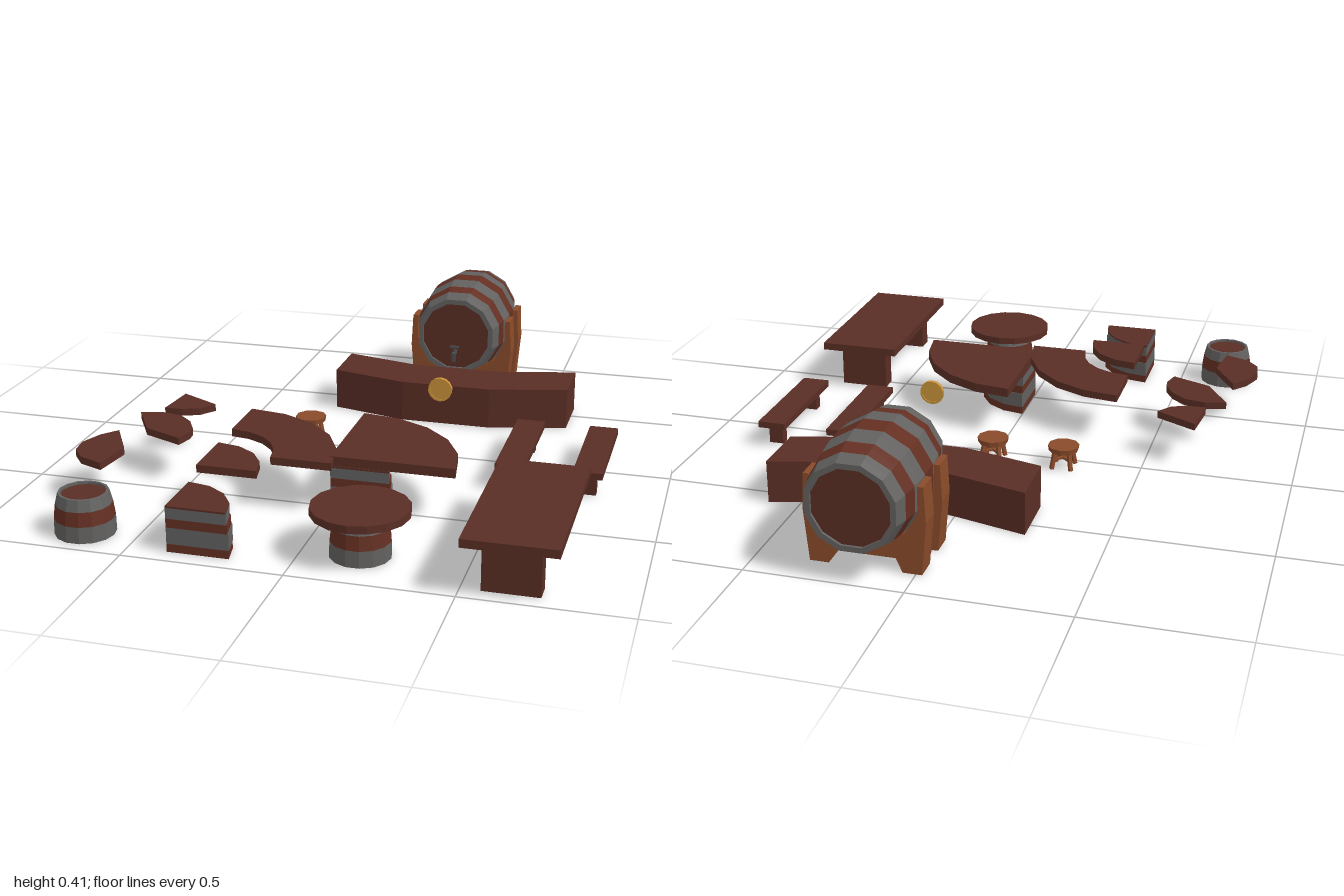
import * as THREE from 'three';

const mat = (name, color) => new THREE.MeshStandardMaterial({ name, color, flatShading: true });

export function createModel() {
  const root = new THREE.Group();
  root.name = 'tavernFurniture';
  const wood = mat('darkWood', 0x5a2e25);
  const stave = mat('barrelWood', 0x642f22);
  const steel = mat('greyHoop', 0x626160);
  const oak = mat('lightOak', 0x8a4b2a);
  const gold = mat('gold', 0xc8923a);
  const iron = mat('tapIron', 0x4a4c4e);

  const group = (name, x = 0, y = 0, z = 0) => {
    const g = new THREE.Group();
    g.name = name;
    g.position.set(x, y, z);
    root.add(g);
    return g;
  };
  const add = (parent, name, geo, m, x = 0, y = 0, z = 0) => {
    const mesh = new THREE.Mesh(geo, m);
    mesh.name = name;
    mesh.position.set(x, y, z);
    parent.add(mesh);
    return mesh;
  };
  const box = (parent, name, m, w, h, d, x, y, z) =>
    add(parent, name, new THREE.BoxGeometry(w, h, d), m, x, y, z);
  // horizontal slab from an outline of [x, z] points
  const slab = (parent, name, m, pts, y0, y1) => {
    const shape = new THREE.Shape(pts.map(([x, z]) => new THREE.Vector2(x, -z)));
    const geo = new THREE.ExtrudeGeometry(shape, { depth: y1 - y0, bevelEnabled: false });
    geo.rotateX(-Math.PI / 2);
    return add(parent, name, geo, m, 0, y0, 0);
  };
  // quarter circle outline spreading towards +x and -z, optionally hollow
  const quarter = (r, inner = 0, n = 4) => {
    const arc = (q) => Array.from({ length: n + 1 }, (_, i) => {
      const a = (i / n) * Math.PI / 2;
      return [q * Math.cos(a), -q * Math.sin(a)];
    });
    return [...arc(r), ...(inner ? arc(inner).reverse() : [[0, 0]])];
  };
  // turned hoops: each entry is [material, points of radius and height]
  const turned = (parent, bands, sides) => bands.forEach(([m, pts]) => {
    const geo = new THREE.LatheGeometry(pts.map(([r, y]) => new THREE.Vector2(r, y)), sides, Math.PI / sides);
    add(parent, m === steel ? 'hoop' : 'staves', geo, m);
  });

  // great barrel lying along z
  const barrel = group('greatBarrel', 0.155, 0.245, -0.782);
  barrel.rotation.x = Math.PI / 2;
  const L = 0.218;
  const radius = (t) => 0.173 - 0.03 * (t / L) ** 2;
  const cuts = [-L, -0.168, -0.113, -0.038, 0.037, 0.112, 0.162, L];
  turned(barrel, cuts.slice(1).map((b, i) => {
    const a = cuts[i];
    const pts = [a, (a + b) / 2, b].map((t) => [radius(t), t]);
    if (i === 0) pts.unshift([0.125, -L + 0.012], [0.125, -L]);
    if (i === 6) pts.push([0.125, L], [0.125, L - 0.012]);
    return [i % 2 ? stave : steel, pts];
  }), 12);
  for (const s of [-1, 1]) {
    add(barrel, 'barrelHead', new THREE.CylinderGeometry(0.126, 0.126, 0.01, 12, 1, false, Math.PI / 12),
      wood, 0, s * (L - 0.014), 0);
  }

  // cradles under the barrel
  const half = [[0.184, 0.285], [0.19, 0.17], [0.175, 0], [0.115, 0], [0.095, 0.045]];
  const innerHalf = [[0.045, 0.085], [0.125, 0.13], [0.165, 0.2], [0.165, 0.285]];
  const mirror = (pts) => pts.map(([x, y]) => [-x, y]).reverse();
  const outline = [...half, ...mirror(half), ...mirror(innerHalf).map((p) => p), ...innerHalf];
  for (const z of [-0.855, -0.7]) {
    const shape = new THREE.Shape(outline.map(([x, y]) => new THREE.Vector2(x, y)));
    const geo = new THREE.ExtrudeGeometry(shape, { depth: 0.075, bevelEnabled: false });
    add(group('barrelCradle', 0.155, 0, z), 'cradleFrame', geo, oak, 0, 0, -0.0375);
  }

  // tap
  const tap = group('tap', 0.155, 0.185, -0.55);
  box(tap, 'spout', iron, 0.012, 0.012, 0.045, 0, 0, 0);
  box(tap, 'nozzle', iron, 0.012, 0.03, 0.012, 0, -0.014, 0.015);
  box(tap, 'stem', iron, 0.008, 0.022, 0.008, 0, 0.012, 0.002);
  box(tap, 'handle', iron, 0.034, 0.007, 0.01, 0, 0.024, 0.002);

  // angled bar counter
  slab(group('barCounter'), 'counter', wood, [
    [-0.245, -0.37], [0.02, -0.303], [0.335, -0.303], [0.602, -0.37],
    [0.602, -0.57], [0.335, -0.503], [0.02, -0.503], [-0.245, -0.57]], 0, 0.143);

  // stools
  for (const x of [-0.245, 0]) {
    const stool = group('stool', x, 0, -0.055);
    add(stool, 'seat', new THREE.CylinderGeometry(0.053, 0.05, 0.018, 10), oak, 0, 0.069, 0);
    for (let i = 0; i < 4; i++) {
      const arm = new THREE.Group();
      arm.rotation.y = i * Math.PI / 2 + Math.PI / 4;
      stool.add(arm);
      box(arm, 'stoolLeg', oak, 0.012, 0.064, 0.012, 0.04, 0.031, 0).rotation.z = 0.2;
    }
    for (const r of [0, Math.PI / 2]) {
      box(stool, 'stoolRung', oak, 0.07, 0.008, 0.008, 0, 0.032, 0).rotation.y = r + Math.PI / 4;
    }
  }

  // coin standing in the air
  const coin = group('coin', 0.214, 0.217, -0.055);
  coin.rotation.x = Math.PI / 2;
  add(coin, 'coinDisc', new THREE.CylinderGeometry(0.039, 0.039, 0.008, 14), gold);
  add(coin, 'coinRim', new THREE.LatheGeometry([[0.034, -0.007], [0.041, -0.007], [0.041, 0.007],
    [0.034, 0.007], [0.034, -0.007]].map(([a, b]) => new THREE.Vector2(a, b)), 14), gold);

  // benches
  for (const x of [0.509, 0.758]) {
    const bench = group('bench', x, 0, 0.033);
    box(bench, 'benchSeat', wood, 0.095, 0.022, 0.416, 0, 0.08, 0);
    for (const s of [-1, 1]) box(bench, 'benchLeg', wood, 0.05, 0.07, 0.033, 0, 0.035, s * 0.155);
  }

  // long table
  const table = group('longTable', 0.646, 0, 0.698);
  box(table, 'tableTop', wood, 0.28, 0.026, 0.604, 0, 0.161, 0);
  for (const s of [-1, 1]) box(table, 'tableLeg', wood, 0.17, 0.149, 0.06, 0, 0.0745, s * 0.222);

  // half barrels: one open, one carrying a round table top
  const halfBarrel = (name, x, z) => {
    const g = group(name, x, 0, z);
    turned(g, [
      [steel, [[0.093, 0], [0.092, 0.052]]],
      [stave, [[0.092, 0.052], [0.086, 0.097]]],
      [steel, [[0.086, 0.097], [0.077, 0.133], [0.069, 0.133], [0.069, 0.124]]],
    ], 14);
    const disc = (r) => new THREE.CylinderGeometry(r, r, 0.006, 14, 1, false, Math.PI / 14);
    add(g, 'barrelLid', disc(0.07), wood, 0, 0.122, 0);
    add(g, 'barrelBase', disc(0.092), wood, 0, 0.003, 0);
    return g;
  };
  halfBarrel('smallBarrel', -0.665, 0.875);
  const round = halfBarrel('roundTable', 0.178, 0.815);
  add(round, 'roundTop', new THREE.CylinderGeometry(0.15, 0.15, 0.024, 16), wood, 0, 0.145, 0);

  // quarter barrels
  const quarterBarrel = (name, x, z) => {
    const g = group(name, x, 0, z);
    [[0, 0.026, 0.193, stave], [0.026, 0.078, 0.194, steel], [0.078, 0.106, 0.191, stave],
      [0.106, 0.14, 0.187, steel]].forEach(([a, b, r, m]) =>
      slab(g, m === steel ? 'hoop' : 'staves', m, quarter(r), a, b));
    slab(g, 'quarterLid', wood, quarter(0.187), 0.14, 0.146);
    return g;
  };
  quarterBarrel('quarterBarrel', -0.375, 0.945);
  const corner = quarterBarrel('cornerTable', 0, 0.527);
  slab(corner, 'cornerTop', wood, quarter(0.395, 0, 5), 0.147, 0.178);

  // loose table tops
  slab(group('curvedTop', -0.375, 0, 0.575), 'curvedBoard', wood, quarter(0.393, 0.197, 5), 0.15, 0.175);
  slab(group('quarterTop', -0.375, 0, 0.693), 'quarterBoard', wood, quarter(0.193), 0.15, 0.175);
  const pieces = [
    [[-0.665, 0.053], [-0.527, 0.127], [-0.565, 0.18], [-0.62, 0.2], [-0.68, 0.203]],
    [[-0.742, 0.262], [-0.67, 0.245], [-0.6, 0.258], [-0.55, 0.302], [-0.518, 0.36], [-0.514, 0.397],
      [-0.53, 0.455], [-0.663, 0.398]],
    [[-0.742, 0.44], [-0.664, 0.577], [-0.683, 0.715], [-0.763, 0.683], [-0.805, 0.63], [-0.813, 0.567],
      [-0.785, 0.492]],
  ];
  pieces.forEach((p) => slab(group('brokenTop'), 'brokenBoard', wood, p, 0.133, 0.157));

  return root;
}
